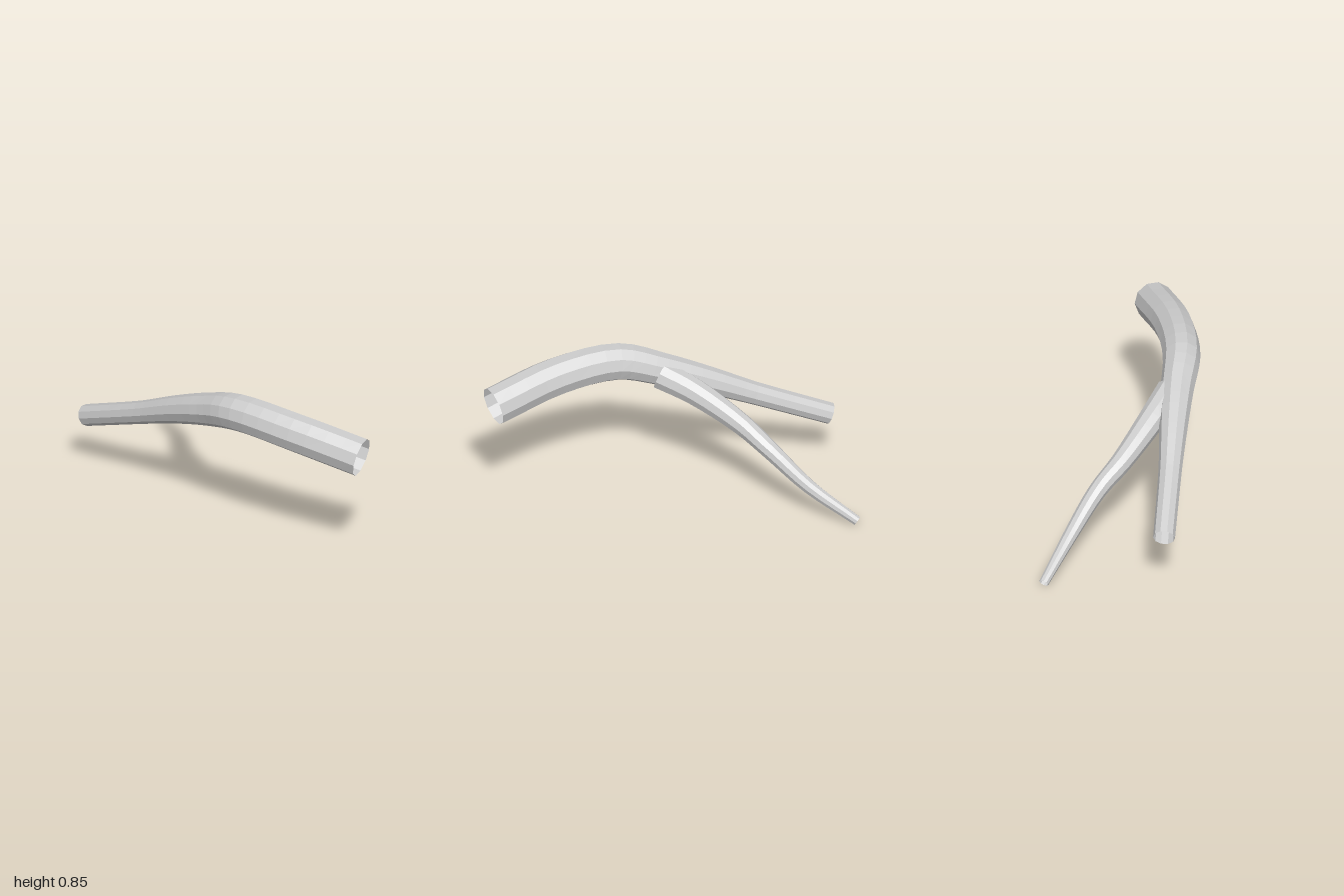
import * as THREE from 'three';

const SIDES = 10;

// Open tapered tube through stations of [x, y, z, radius]
function limbGeometry(stations, segments) {
  const path = new THREE.CatmullRomCurve3(stations.map(([x, y, z]) => new THREE.Vector3(x, y, z)));
  const radii = new THREE.CatmullRomCurve3(stations.map((s, i) => new THREE.Vector3(s[3], i, 0)));
  const positions = [];
  const indices = [];
  for (let i = 0; i <= segments; i++) {
    const t = i / segments;
    const centre = path.getPoint(t);
    const tangent = path.getTangent(t);
    const radius = radii.getPoint(t).x;
    // Level side vector keeps the facets running straight along the limb
    const side = new THREE.Vector3(0, 1, 0).cross(tangent).normalize();
    const up = tangent.clone().cross(side);
    for (let j = 0; j < SIDES; j++) {
      const a = (j / SIDES) * Math.PI * 2;
      const p = centre.clone()
        .addScaledVector(side, Math.cos(a) * radius)
        .addScaledVector(up, Math.sin(a) * radius);
      positions.push(p.x, p.y, p.z);
      if (i < segments) {
        const k = (j + 1) % SIDES;
        const r0 = i * SIDES, r1 = r0 + SIDES;
        indices.push(r0 + j, r0 + k, r1 + j, r0 + k, r1 + k, r1 + j);
      }
    }
  }
  const geometry = new THREE.BufferGeometry();
  geometry.setAttribute('position', new THREE.Float32BufferAttribute(positions, 3));
  geometry.setIndex(indices);
  geometry.computeVertexNormals();
  return geometry;
}

export function createModel() {
  const group = new THREE.Group();
  group.name = 'forkedBranch';
  const bark = new THREE.MeshStandardMaterial({ color: 0xcccccc, side: THREE.DoubleSide, flatShading: true });
  bark.name = 'pale grey';

  // Thick limb, arching from the back to the wide front opening
  const mainLimb = new THREE.Mesh(limbGeometry([
    [-0.29, 0.315, -0.92, 0.06],
    [-0.288, 0.485, -0.5, 0.064],
    [-0.284, 0.592, -0.25, 0.077],
    [-0.283, 0.685, 0, 0.091],
    [-0.288, 0.755, 0.25, 0.103],
    [-0.215, 0.735, 0.6, 0.107],
    [-0.075, 0.662, 0.965, 0.108],
  ], 24), bark);
  mainLimb.name = 'mainLimb';

  // Thin side limb, splitting off and tapering down to the ground
  const sideLimb = new THREE.Mesh(limbGeometry([
    [0.364, 0.026, -0.979, 0.027],
    [0.237, 0.19, -0.73, 0.04],
    [0.11, 0.355, -0.54, 0.05],
    [-0.01, 0.46, -0.4, 0.059],
    [-0.16, 0.6, -0.16, 0.074],
    [-0.25, 0.675, 0.02, 0.083],
  ], 20), bark);
  sideLimb.name = 'sideLimb';

  group.add(mainLimb, sideLimb);
  return group;
}
